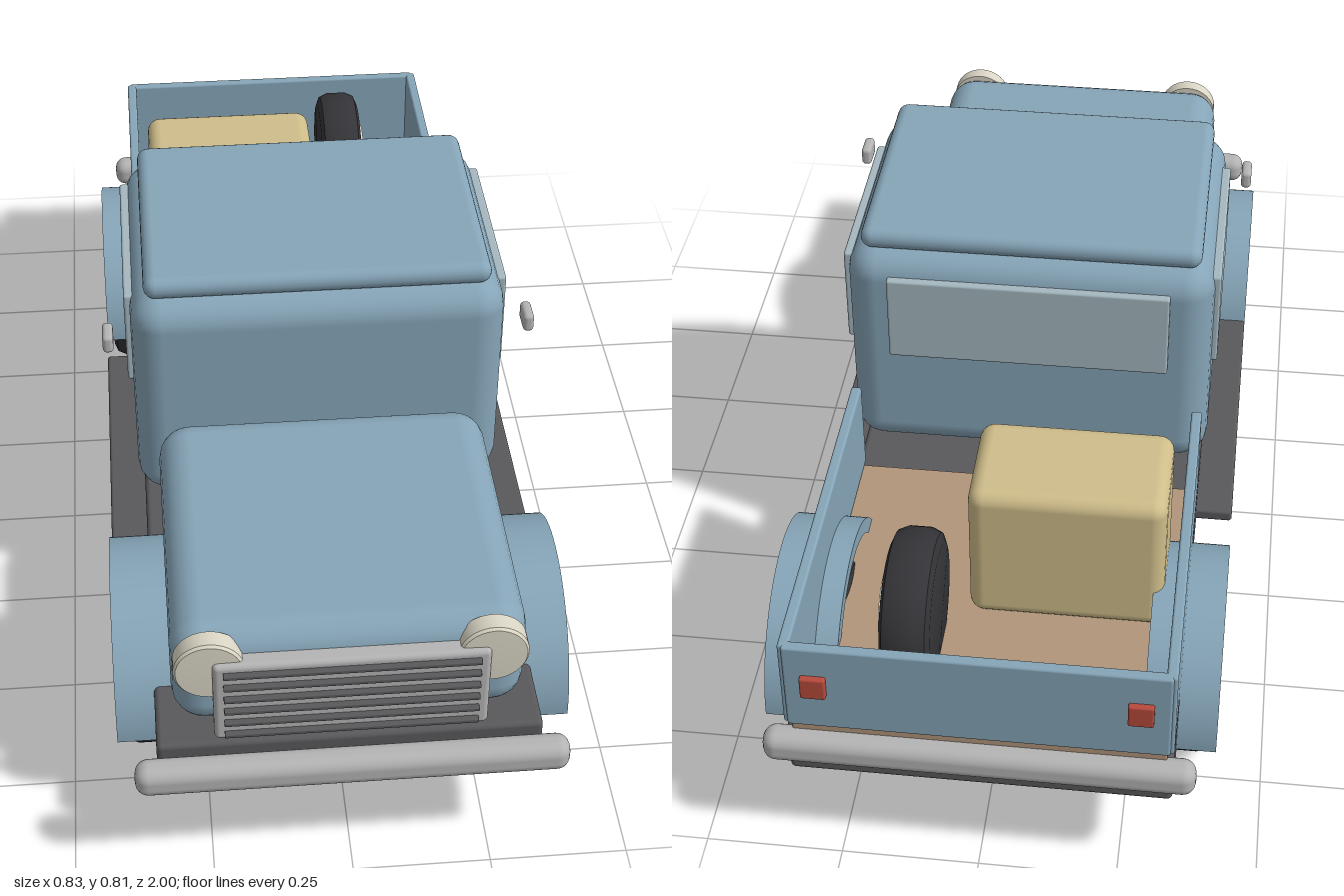
import * as THREE from 'three';
import { RoundedBoxGeometry } from 'three/addons/geometries/RoundedBoxGeometry.js';
import { toCreasedNormals } from 'three/addons/utils/BufferGeometryUtils.js';

const paint = (color) => new THREE.MeshStandardMaterial({ color });
const BODY = paint(0x86a5b8), GLASS = paint(0xa5b8c0), DARK = paint(0x59595c), TYRE = paint(0x343438);
const CHROME = paint(0xb4b4b4), CREAM = paint(0xd9d4c4), WOOD = paint(0xb0957a), CRATE = paint(0xcfbd8a), RED = paint(0xb84a3c);

export function createModel() {
  const truck = new THREE.Group();
  truck.name = 'pickupTruck';

  const add = (name, geometry, material, parent = truck) => {
    const mesh = new THREE.Mesh(geometry, material);
    mesh.name = name;
    parent.add(mesh);
    return mesh;
  };

  // Rounded box given by its extents on each axis
  const block = (name, [x0, x1], [y0, y1], [z0, z1], radius, material) => {
    const geometry = new RoundedBoxGeometry(x1 - x0, y1 - y0, z1 - z0, 3, radius);
    geometry.translate((x0 + x1) / 2, (y0 + y1) / 2, (z0 + z1) / 2);
    return add(name, geometry, material);
  };

  // Same box on both sides, x measured outwards
  const pair = (name, [x0, x1], y, z, radius, material) => {
    block(name + 'Left', [x0, x1], y, z, radius, material);
    block(name + 'Right', [-x1, -x0], y, z, radius, material);
  };

  // Tyre with chamfered shoulders and a hubcap on its outer face
  const wheel = (name, x, y, z, side, radius, half) => {
    const group = new THREE.Group();
    group.name = name;
    const profile = [
      [0, -half], [radius - 0.025, -half], [radius - 0.008, -half + 0.007], [radius, -half + 0.025],
      [radius, half - 0.025], [radius - 0.008, half - 0.007], [radius - 0.025, half], [0, half],
    ].map(([r, h]) => new THREE.Vector2(r, h));
    add('tyre', toCreasedNormals(new THREE.LatheGeometry(profile, 40), 0.6), TYRE, group);
    const hub = add('hubcap', new THREE.CylinderGeometry(radius * 0.47, radius * 0.48, 0.03, 32), CREAM, group);
    hub.position.y = half - 0.005;
    group.rotation.z = -side * Math.PI / 2;
    group.position.set(x, y, z);
    truck.add(group);
  };

  // Half-ring mudguard
  const arch = new THREE.Shape();
  arch.absarc(0, 0, 0.222, 0, Math.PI, false);
  arch.absarc(0, 0, 0.193, Math.PI, 0, true);
  arch.closePath();
  const fenderGeometry = new THREE.ExtrudeGeometry(arch, { depth: 0.133, bevelEnabled: false, curveSegments: 32 });
  fenderGeometry.translate(0, 0, -0.0665).rotateY(Math.PI / 2);
  const fenderSmooth = toCreasedNormals(fenderGeometry, 0.6);

  // Chassis, running boards and bumpers
  block('chassis', [-0.342, 0.342], [0.17, 0.28], [-0.96, 0.93], 0.01, DARK);
  pair('runningBoard', [0.33, 0.413], [0.208, 0.232], [-0.26, 0.39], 0.006, DARK);
  block('frontBumper', [-0.382, 0.382], [0.221, 0.283], [0.945, 1], 0.024, CHROME);
  block('rearBumper', [-0.382, 0.382], [0.221, 0.283], [-1, -0.945], 0.024, CHROME);

  // Cab, roof and windows
  block('cab', [-0.352, 0.352], [0.315, 0.772], [-0.222, 0.316], 0.058, BODY);
  block('roof', [-0.325, 0.325], [0.766, 0.811], [-0.193, 0.285], 0.022, BODY);
  pair('sideWindow', [0.34, 0.363], [0.54, 0.738], [-0.166, 0.22], 0.005, GLASS);
  block('rearWindow', [-0.27, 0.27], [0.55, 0.728], [-0.234, -0.21], 0.005, GLASS);
  pair('mirror', [0.385, 0.405], [0.668, 0.705], [0.25, 0.303], 0.008, CHROME);

  // Hood, grille and headlights
  block('hood', [-0.311, 0.311], [0.295, 0.515], [0.305, 0.91], 0.058, BODY);
  block('grille', [-0.24, 0.24], [0.297, 0.475], [0.9, 0.938], 0.01, CHROME);
  for (let i = 0; i < 6; i++) {
    const y = 0.315 + i * 0.0284;
    block('grilleSlat', [-0.222, 0.222], [y - 0.004, y + 0.004], [0.93, 0.949], 0.002, DARK);
  }
  for (const side of [-1, 1]) {
    const lens = [[0, -0.025], [0.062, -0.025], [0.062, 0.007], [0.058, 0.012], [0, 0.014]]
      .map(([r, h]) => new THREE.Vector2(r, h));
    const light = add('headlight', toCreasedNormals(new THREE.LatheGeometry(lens, 32), 0.6), CREAM);
    light.rotation.x = Math.PI / 2;
    light.position.set(side * 0.245, 0.453, 0.915);
  }

  // Cargo bed with open front
  block('bedFloor', [-0.33, 0.33], [0.278, 0.305], [-0.965, -0.28], 0.004, WOOD);
  pair('bedSide', [0.322, 0.342], [0.304, 0.492], [-0.972, -0.265], 0.005, BODY);
  block('tailgate', [-0.335, 0.335], [0.304, 0.492], [-0.977, -0.957], 0.005, BODY);
  pair('tailLight', [0.26, 0.305], [0.383, 0.43], [-0.988, -0.97], 0.004, RED);

  // Cargo
  block('crate', [-0.3, 0.058], [0.3, 0.592], [-0.668, -0.448], 0.028, CRATE);
  wheel('spareWheel', 0.14, 0.404, -0.763, 1, 0.143, 0.045);

  // Wheels and mudguards
  for (const [end, z] of [['front', 0.592], ['rear', -0.617]]) {
    for (const side of [-1, 1]) {
      const label = side > 0 ? 'Left' : 'Right';
      wheel(`${end}Wheel${label}`, side * 0.343, 0.163, z, side, 0.161, 0.059);
      add(`${end}Fender${label}`, fenderSmooth, BODY).position.set(side * 0.3465, 0.172, z);
    }
  }
  return truck;
}
